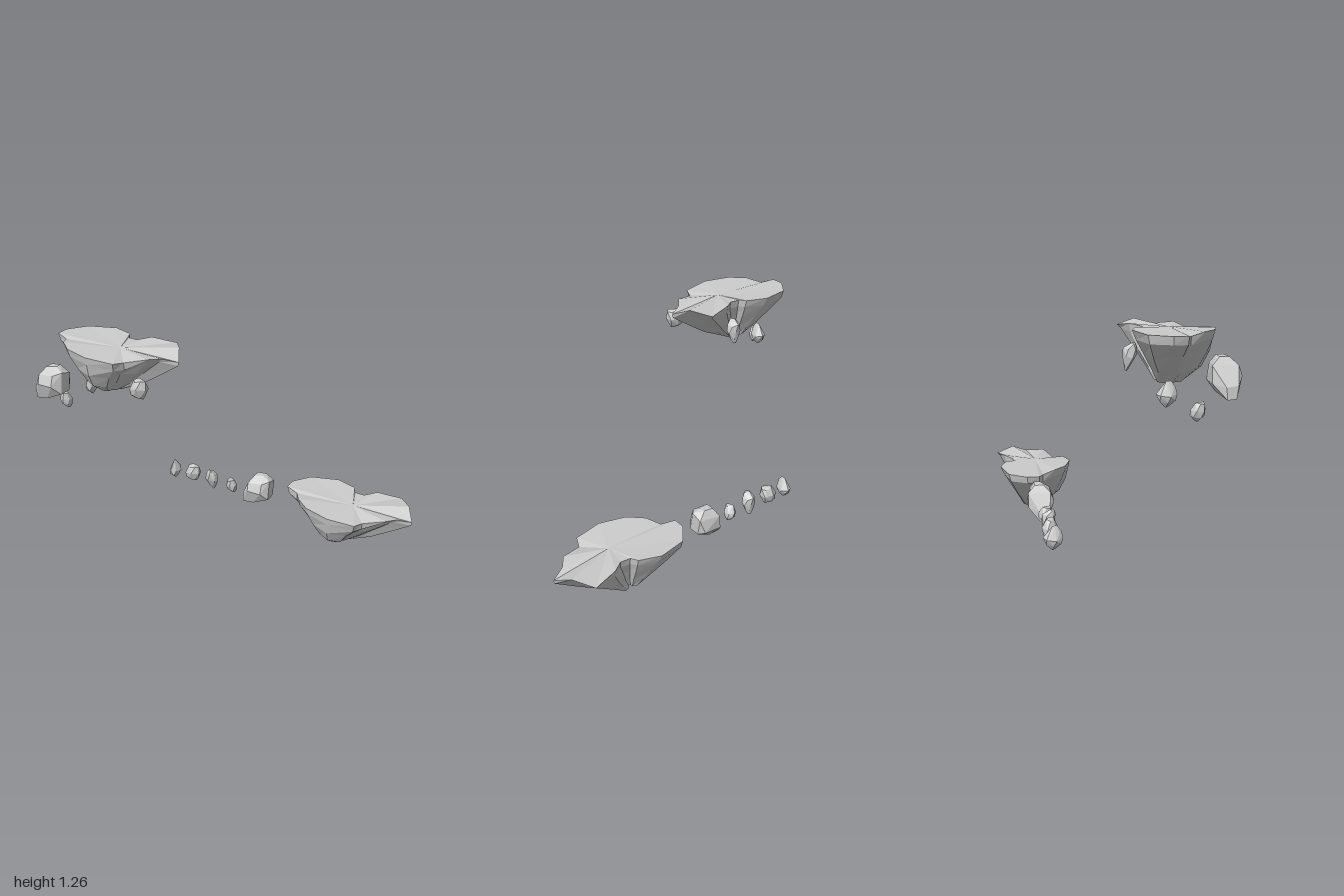
import * as THREE from 'three';
import { ConvexGeometry } from 'three/addons/geometries/ConvexGeometry.js';

const material = new THREE.MeshStandardMaterial({ color: 0xcccccc, flatShading: true });

// Rim of the floating island: x, y, z, clockwise from above
const RIM = [
  [0.2, 0.265, -0.405], [0.28, 0.265, -0.51], [0.45, 0.27, -0.552], [0.575, 0.27, -0.51],
  [0.595, 0.265, -0.465], [0.655, 0.265, -0.46], [0.72, 0.275, -0.515], [0.865, 0.255, -0.552],
  [0.945, 0.278, -0.445], [1.0, 0.235, -0.35], [0.92, 0.255, -0.305], [0.875, 0.265, -0.24],
  [0.75, 0.24, -0.19], [0.725, 0.25, -0.125], [0.565, 0.265, -0.1], [0.41, 0.27, -0.145],
  [0.325, 0.27, -0.22], [0.28, 0.255, -0.3], [0.2, 0.265, -0.33],
];
const BASE = [0.535, 0, -0.345];

// Island: rim, lip and shrinking rings, closed by a top and a bottom fan
function islandGeometry() {
  const shrink = (p, i, y, sx, sz, frontSz, rough) => {
    const k = 1 + rough * Math.sin(i * 2.3);
    const front = p[2] > BASE[2] && p[0] < 0.74;
    return [
      BASE[0] + (p[0] - BASE[0]) * sx * k, y + rough * 0.15 * Math.cos(i * 1.7),
      BASE[2] + (p[2] - BASE[2]) * (front ? frontSz : sz) * k,
    ];
  };
  const rings = [
    RIM,
    RIM.map((p, i) => shrink(p, i, p[1] - (p[0] > 0.8 ? 0.02 : 0.045), 0.97, 0.92, 0.95, 0.02)),
    RIM.map((p, i) => shrink(p, i, 0.145, 0.7, 0.7, 0.85, 0.06)),
    RIM.map((p, i) => shrink(p, i, 0.068, 0.45, 0.48, 0.68, 0.06)),
    RIM.map((p, i) => shrink(p, i, 0, 0.18, 0.3, 0.3, 0)),
  ];
  const out = [];
  const tri = (...corners) => corners.forEach((c) => out.push(...c));
  const n = RIM.length;
  for (let i = 0; i < n; i++) {
    const j = (i + 1) % n;
    tri([0.64, 0.262, -0.32], RIM[j], RIM[i]);
    for (let r = 0; r < rings.length - 1; r++) {
      const up = rings[r], low = rings[r + 1];
      tri(low[j], low[i], up[i]);
      tri(low[j], up[i], up[j]);
    }
    const last = rings[rings.length - 1];
    tri(BASE, last[i], last[j]);
  }
  const g = new THREE.BufferGeometry();
  g.setAttribute('position', new THREE.Float32BufferAttribute(out, 3));
  g.computeVertexNormals();
  return g;
}

// Small stone: hull around stacked sections [y, x, z, radiusX, radiusZ]
function stoneGeometry(sections, sides = 6) {
  const pts = [];
  sections.forEach(([y, x, z, rx, rz], s) => {
    for (let i = 0; i < sides; i++) {
      const a = ((i + s * 0.35) / sides) * Math.PI * 2;
      pts.push(new THREE.Vector3(x + rx * Math.cos(a), y + 0.006 * Math.sin(i * 2.1), z + rz * Math.sin(a)));
    }
  });
  return new ConvexGeometry(pts);
}

// Large boulder leaning to one side
function boulderGeometry() {
  const pts = [
    [-0.1, 0.085, -0.31], [-0.1, 0.08, -0.355], [0, 0.11, -0.39], [-0.02, 0.1, -0.3],
    [-0.097, 0.14, -0.36], [-0.097, 0.15, -0.3], [-0.06, 0.155, -0.42], [0.05, 0.16, -0.42],
    [0.075, 0.14, -0.38], [0.075, 0.14, -0.31], [0.04, 0.19, -0.268], [-0.05, 0.19, -0.27],
    [-0.055, 0.24, -0.29], [0.04, 0.25, -0.29], [0.075, 0.26, -0.33], [0.075, 0.24, -0.4],
    [-0.05, 0.24, -0.42], [-0.03, 0.28, -0.33], [0.03, 0.285, -0.345], [0.03, 0.285, -0.38],
    [-0.03, 0.28, -0.38],
  ];
  return new ConvexGeometry(pts.map((p) => new THREE.Vector3(...p)));
}

export function createModel() {
  const group = new THREE.Group();

  // Each part stands in the lower row and again, shifted, in the floating cluster
  const parts = [
    ['island', islandGeometry(), [-1.2, 0.985, 0.595]],
    ['boulder', boulderGeometry(), [-0.89, 0.86, 0.815]],
    ['pointedStone', stoneGeometry([
      [0.23, -0.625, -0.33, 0.004, 0.015], [0.2, -0.625, -0.33, 0.018, 0.035],
      [0.165, -0.625, -0.34, 0.035, 0.053], [0.135, -0.625, -0.335, 0.025, 0.045],
      [0.11, -0.625, -0.34, 0.005, 0.012],
    ]), [-0.21, 0.78, 0.54]],
    ['bluntStone', stoneGeometry([
      [0.223, -0.48, -0.34, 0.038, 0.025], [0.178, -0.49, -0.343, 0.055, 0.044],
      [0.135, -0.5, -0.345, 0.042, 0.032], [0.121, -0.495, -0.345, 0.028, 0.02],
    ]), [0.145, 0.93, 0.765]],
    ['teardropStone', stoneGeometry([
      [0.23, -0.348, -0.315, 0.018, 0.012], [0.205, -0.345, -0.332, 0.036, 0.038],
      [0.165, -0.345, -0.335, 0.044, 0.036], [0.12, -0.345, -0.345, 0.025, 0.02],
      [0.094, -0.343, -0.35, 0.008, 0.008],
    ]), [-0.18, 0.93, 0.41]],
    ['pebble', stoneGeometry([
      [0.2, -0.202, -0.33, 0.02, 0.026], [0.165, -0.198, -0.337, 0.034, 0.039],
      [0.135, -0.196, -0.34, 0.03, 0.036], [0.115, -0.19, -0.34, 0.014, 0.016],
    ]), [-0.73, 0.72, 0.67]],
  ];

  const row = new THREE.Group();
  row.name = 'lowerRow';
  const cluster = new THREE.Group();
  cluster.name = 'floatingCluster';
  for (const [name, geometry, shift] of parts) {
    const low = new THREE.Mesh(geometry, material);
    low.name = name;
    row.add(low);
    const high = new THREE.Mesh(geometry, material);
    high.name = name;
    high.position.set(...shift);
    cluster.add(high);
  }
  group.add(row, cluster);
  return group;
}
